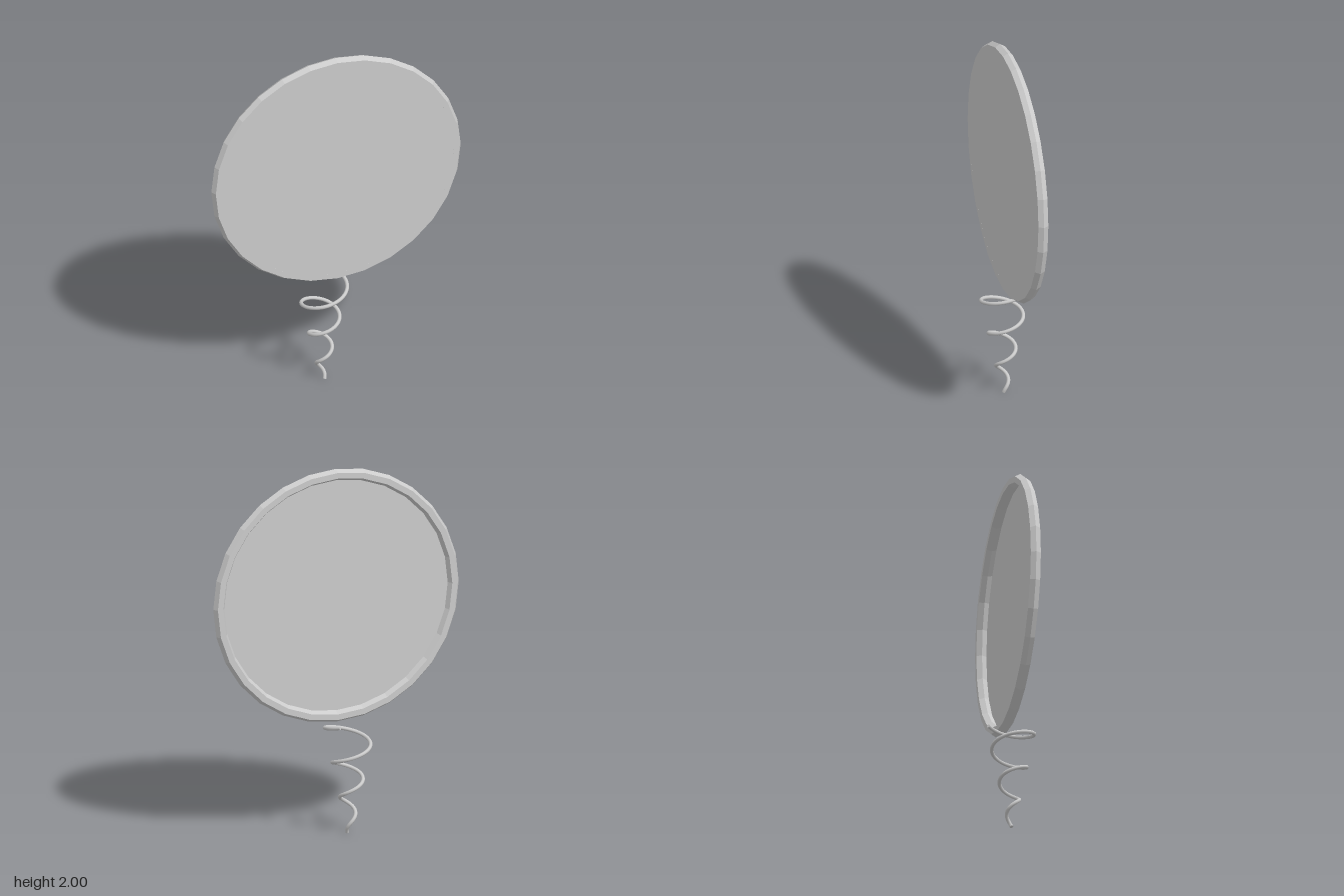
import * as THREE from 'three';

const SIDES = 28;
const RING_Y = 1.31;

// Conical spring path: radius grows steadily with height
class SpringCurve extends THREE.Curve {
  getPoint(t, target = new THREE.Vector3()) {
    const y = 0.008 + 0.607 * t;
    const r = 0.01 + 0.207 * y;
    const a = (2 * Math.PI * (y - 0.02)) / 0.19;
    return target.set(-0.076 + r * Math.cos(a), y, -r * Math.sin(a));
  }
}

export function createModel() {
  const group = new THREE.Group();
  const faceted = new THREE.MeshStandardMaterial({ color: 0xcccccc, flatShading: true });
  const smooth = new THREE.MeshStandardMaterial({ color: 0xcccccc });
  const sheet = new THREE.MeshStandardMaterial({ color: 0xcccccc, side: THREE.DoubleSide });

  const add = (name, geometry, material) => {
    const mesh = new THREE.Mesh(geometry, material);
    mesh.name = name;
    group.add(mesh);
    return mesh;
  };

  // Rim: hexagonal section swept around the disc
  add('rim', new THREE.TorusGeometry(0.659, 0.031, 6, SIDES), faceted).position.y = RING_Y;

  // Thin panel flush with the front of the rim, leaving the back recessed
  add('panel', new THREE.CircleGeometry(0.66, SIDES), sheet).position.set(0, RING_Y, 0.0268);

  // Coiled tail with closed tips
  const path = new SpringCurve();
  const wire = 0.01;
  add('spring', new THREE.TubeGeometry(path, 160, wire, 8), smooth);
  for (const t of [0, 1]) {
    const cap = add('springTip', new THREE.CircleGeometry(wire, 8), smooth);
    const outward = path.getTangent(t).multiplyScalar(t ? 1 : -1);
    cap.position.copy(path.getPoint(t));
    cap.quaternion.setFromUnitVectors(new THREE.Vector3(0, 0, 1), outward);
  }

  return group;
}
